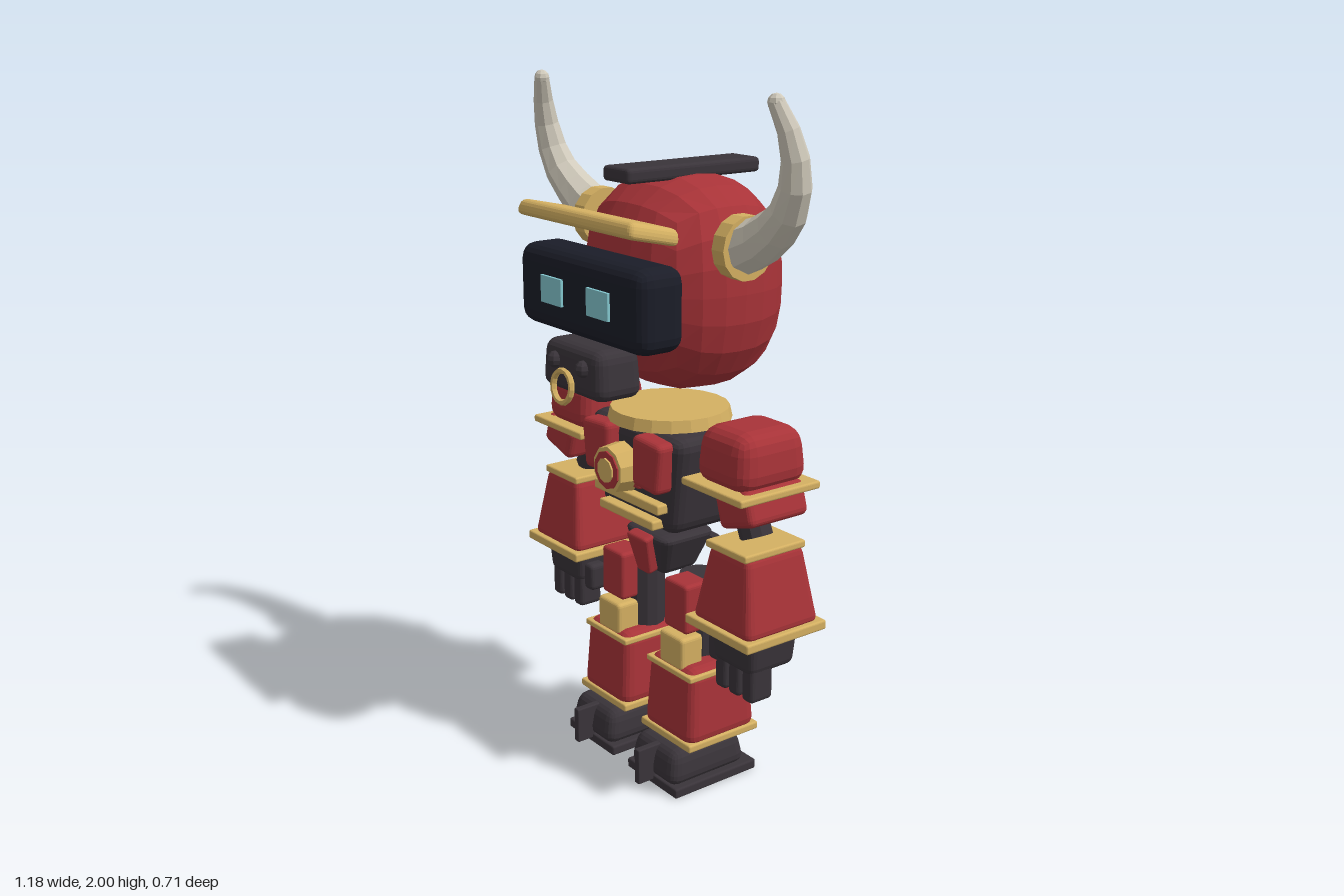
import * as THREE from 'three';
import { RoundedBoxGeometry } from 'three/addons/geometries/RoundedBoxGeometry.js';

const material = (name, color) => Object.assign(new THREE.MeshStandardMaterial({ color }), { name });

// Faceted normals for the low-poly look
function facet(geo) {
  const g = geo.index ? geo.toNonIndexed() : geo;
  g.computeVertexNormals();
  return g;
}

// Bevelled box whose top is scaled by tx, tz relative to its bottom
function block(w, h, d, r = 0.02, tx = 1, tz = tx) {
  const g = new RoundedBoxGeometry(w, h, d, 2, Math.min(r, w / 2.1, h / 2.1, d / 2.1));
  const p = g.attributes.position;
  for (let i = 0; i < p.count; i++) {
    const t = p.getY(i) / h + 0.5;
    p.setX(i, p.getX(i) * (1 + (tx - 1) * t));
    p.setZ(i, p.getZ(i) * (1 + (tz - 1) * t));
  }
  return facet(g);
}

// Squarish ball made from a subdivided cube
function cubeBall(rx, ry, rz, n = 6, power = 2.5) {
  const g = new THREE.BoxGeometry(2, 2, 2, n, n, n);
  const p = g.attributes.position;
  for (let i = 0; i < p.count; i++) {
    const v = [p.getX(i), p.getY(i), p.getZ(i)].map(a => Math.tan(a * Math.PI / 4));
    const len = v.reduce((s, a) => s + Math.abs(a) ** power, 0) ** (1 / power);
    p.setXYZ(i, v[0] / len * rx, v[1] / len * ry, v[2] / len * rz);
  }
  return facet(g);
}

// Horn: rings of a tube shrunk along its curve
function hornGeometry(s) {
  const curve = new THREE.CatmullRomCurve3([
    [0.33, 1.59, -0.015], [0.42, 1.632, -0.015], [0.52, 1.72, 0], [0.553, 1.82, 0.015],
    [0.545, 1.91, 0.035], [0.52, 1.978, 0.055]
  ].map(([x, y, z]) => new THREE.Vector3(x * s, y, z)));
  const rings = 7, sides = 9;
  const g = new THREE.TubeGeometry(curve, rings, 1, sides);
  const p = g.attributes.position, v = new THREE.Vector3();
  for (let i = 0; i < p.count; i++) {
    const t = Math.floor(i / (sides + 1)) / rings, c = curve.getPointAt(t);
    v.fromBufferAttribute(p, i).sub(c).multiplyScalar(0.072 - 0.05 * t).add(c);
    p.setXYZ(i, v.x, v.y, v.z);
  }
  return facet(g);
}

export function createModel() {
  const red = material('red armour', 0xa83338);
  const gold = material('gold trim', 0xd4b062);
  const dark = material('dark frame', 0x3a343a);
  const navy = material('visor black', 0x1b1d28);
  const cyan = material('eye glow', 0x84c8d0);
  const bone = material('horn bone', 0xd0cabb);

  const model = new THREE.Group();
  const put = (name, geo, mat, pos = [0, 0, 0], rot = [0, 0, 0]) => {
    const m = new THREE.Mesh(geo, mat);
    m.name = name;
    m.position.set(...pos);
    m.rotation.set(...rot);
    model.add(m);
    return m;
  };
  const cyl = (rt, rb, h, n) => facet(new THREE.CylinderGeometry(rt, rb, h, n));
  const Q = Math.PI / 2;

  // Head
  put('head', cubeBall(0.28, 0.303, 0.245), red, [0, 1.45, -0.065]);
  put('crest', block(0.12, 0.042, 0.46, 0.012), dark, [0, 1.758, -0.065]);
  put('brow', block(0.55, 0.045, 0.165, 0.018, 0.96, 0.96), gold, [0, 1.64, 0.228], [-0.22, 0, 0]);
  put('visor', block(0.59, 0.23, 0.155, 0.045), navy, [0, 1.44, 0.22]);
  put('muzzle', block(0.29, 0.14, 0.155, 0.035, 0.92), dark, [0, 1.245, 0.248]);
  put('noseRing', facet(new THREE.TorusGeometry(0.044, 0.009, 6, 16)), gold, [0, 1.203, 0.345], [-0.1, 0, 0]);

  // Torso
  put('collar', cyl(0.172, 0.18, 0.035, 20), gold, [0, 1.072, -0.022]);
  put('torso', block(0.34, 0.3, 0.25, 0.04, 1.32, 1.14), dark, [0, 0.905, -0.022]);
  put('emblemRim', cyl(0.068, 0.075, 0.06, 10), gold, [0, 0.935, 0.17], [Q, 0, 0]);
  put('emblemInset', cyl(0.056, 0.056, 0.008, 10), red, [0, 0.935, 0.201], [Q, 0, 0]);
  put('emblemCore', cyl(0.036, 0.036, 0.008, 10), gold, [0, 0.935, 0.206], [Q, 0, 0]);
  put('bellyBand', block(0.31, 0.03, 0.05, 0.006), gold, [0, 0.842, 0.115]);
  put('bellyBand', block(0.26, 0.028, 0.05, 0.006), gold, [0, 0.788, 0.115]);
  put('chestBridge', block(0.16, 0.1, 0.05, 0.01), red, [0, 0.935, 0.125]);

  // Pelvis and tail
  put('pelvis', block(0.1, 0.135, 0.12, 0.02, 2.2, 1.7), dark, [0, 0.655, -0.02]);
  put('pelvisPlate', block(0.06, 0.125, 0.04, 0.01, 1.65, 1), red, [0, 0.657, 0.072], [0.25, 0, 0]);
  const tailCurve = new THREE.CatmullRomCurve3([[0.69, -0.08], [0.665, -0.145], [0.615, -0.22],
    [0.535, -0.28], [0.47, -0.305]].map(([y, z]) => new THREE.Vector3(0, y, z)));
  put('tail', facet(new THREE.TubeGeometry(tailCurve, 10, 0.016, 7)), dark);
  put('tailTip', facet(new THREE.SphereGeometry(1, 10, 8).scale(0.044, 0.066, 0.045)), dark, [0, 0.452, -0.31]);

  for (const s of [1, -1]) {
    // Face details and horns
    put('eye', block(0.1, 0.076, 0.009, 0.001), cyan, [0.11 * s, 1.443, 0.301]);
    put('nostril', facet(new THREE.SphereGeometry(0.024, 8, 6)), dark, [0.068 * s, 1.262, 0.322]);
    put('hornBase', cyl(0.087, 0.087, 0.048, 14), gold, [0.321 * s, 1.59, -0.016], [0, 0, Q]);
    put('horn', hornGeometry(s), bone);
    put('hornTip', facet(new THREE.SphereGeometry(0.0225, 8, 6)), bone, [0.52 * s, 1.978, 0.055]);

    // Chest plate
    put('chestPlate', block(0.115, 0.15, 0.07, 0.018, 1.15, 1), red, [0.12 * s, 0.97, 0.127], [0, 0, -0.06 * s]);

    // Arm
    put('shoulder', block(0.225, 0.165, 0.255, 0.055, 0.87), red, [0.365 * s, 1.037, -0.02]);
    put('shoulderTrim', block(0.255, 0.022, 0.28, 0.006), gold, [0.371 * s, 0.956, -0.013]);
    put('upperArmPlate', block(0.14, 0.1, 0.21, 0.02), red, [0.42 * s, 0.91, -0.012], [0, 0, 0.3 * s]);
    put('upperArm', cyl(0.046, 0.046, 0.17, 10), dark, [0.365 * s, 0.885, -0.015], [0, 0, 0.4 * s]);
    put('cuffTop', block(0.17, 0.022, 0.215, 0.006), gold, [0.4 * s, 0.79, -0.01]);
    put('forearm', block(0.25, 0.225, 0.262, 0.025, 0.64, 0.76), red, [0.405 * s, 0.677, -0.01]);
    put('cuffBottom', block(0.27, 0.028, 0.285, 0.006), gold, [0.405 * s, 0.56, -0.01]);
    put('palm', block(0.165, 0.1, 0.16, 0.022, 1.1), dark, [0.412 * s, 0.495, 0]);
    for (const x of [0.355, 0.412, 0.47])
      put('finger', block(0.046, 0.12, 0.08, 0.014), dark, [x * s, 0.422, 0.035]);
    put('thumb', block(0.045, 0.085, 0.06, 0.014), dark, [0.31 * s, 0.47, 0.035]);

    // Leg
    put('thigh', cyl(0.062, 0.062, 0.25, 12), dark, [0.135 * s, 0.485, -0.03]);
    put('thighPlate', block(0.105, 0.15, 0.09, 0.012), red, [0.155 * s, 0.54, 0.035]);
    put('knee', block(0.108, 0.1, 0.08, 0.012), gold, [0.155 * s, 0.405, 0.055]);
    put('shin', block(0.232, 0.235, 0.255, 0.035, 0.88), red, [0.158 * s, 0.255, -0.012]);
    put('shinTrimTop', block(0.21, 0.018, 0.235, 0.005), gold, [0.158 * s, 0.351, -0.012]);
    put('shinTrimBottom', block(0.235, 0.024, 0.258, 0.006), gold, [0.158 * s, 0.142, -0.012]);

    // Foot
    put('sole', block(0.238, 0.03, 0.3, 0.006), dark, [0.156 * s, 0.015, 0.015]);
    put('boot', block(0.225, 0.105, 0.285, 0.035, 0.85), dark, [0.156 * s, 0.078, 0.03]);
    put('toeRidge', block(0.022, 0.11, 0.09, 0.004), dark, [0.156 * s, 0.071, 0.173]);
  }
  return model;
}
